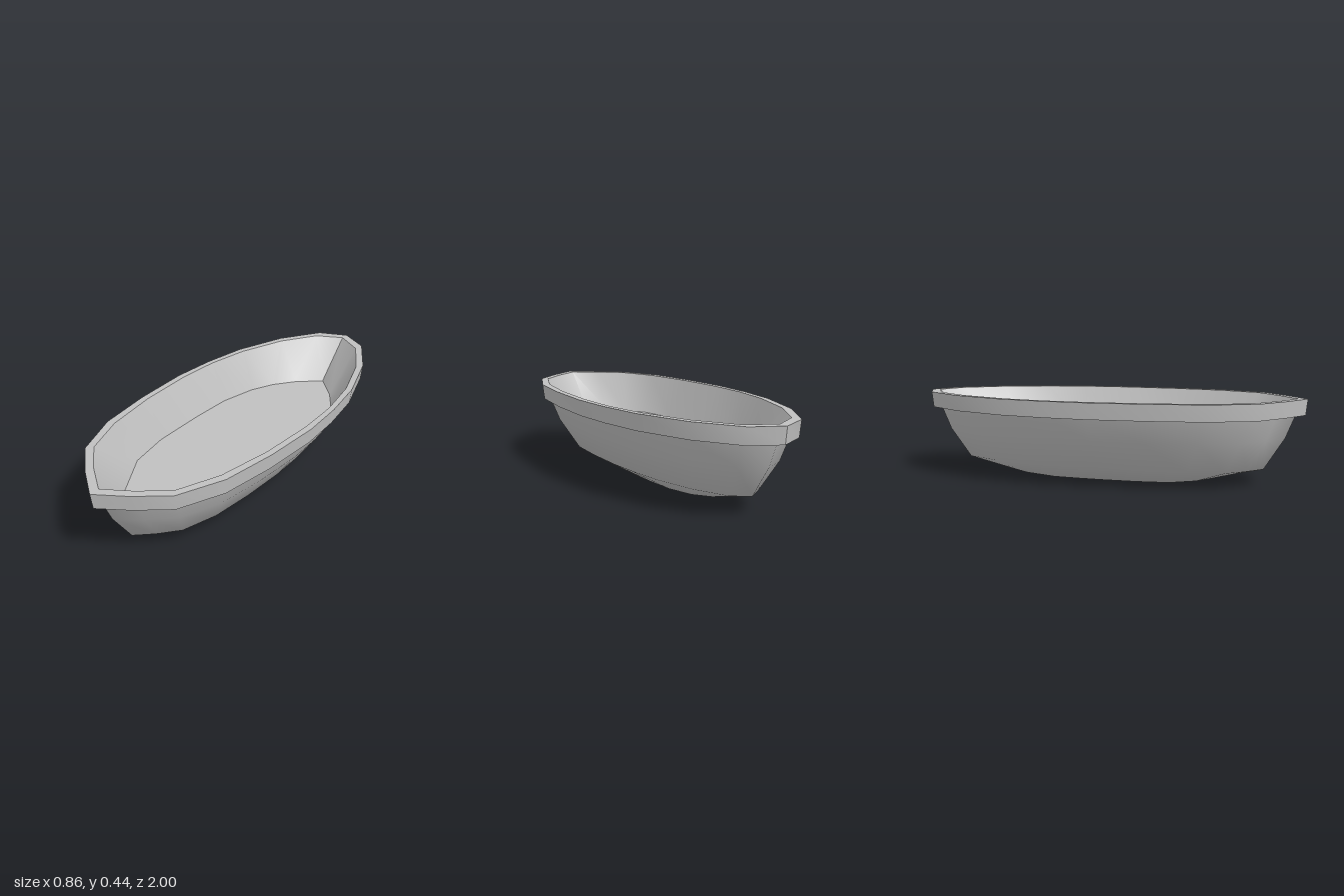
import * as THREE from 'three';
import { toCreasedNormals } from 'three/addons/utils/BufferGeometryUtils.js';

// Half outlines as [x, z], from back tip to front tip
const rimOuter = [[0, -1], [0.145, -0.93], [0.28, -0.72], [0.375, -0.45], [0.413, -0.22], [0.428, 0],
  [0.412, 0.29], [0.373, 0.56], [0.28, 0.78], [0.14, 0.9], [0, 0.995]];
const rimInner = [[0, -0.955], [0.135, -0.88], [0.255, -0.69], [0.345, -0.44], [0.385, -0.22], [0.395, 0],
  [0.38, 0.28], [0.335, 0.55], [0.255, 0.75], [0.13, 0.86], [0, 0.947]];
const floorEdge = [[0, -0.765], [0.12, -0.655], [0.2, -0.545], [0.257, -0.42], [0.3, -0.22], [0.305, 0],
  [0.297, 0.29], [0.255, 0.5], [0.185, 0.61], [0.115, 0.72], [0, 0.76]];

// Closed mirrored ring at height y (number or function of z), optionally scaled
function ring(half, y, sx = 1, sz = 1) {
  const right = half.map(([x, z]) => [x * sx, z * sz]);
  const left = right.slice(1, -1).reverse().map(([x, z]) => [-x, z]);
  return [...right, ...left].map(([x, z]) => [x, typeof y === 'function' ? y(z) : y, z]);
}

// Skin consecutive rings, leaving out collapsed triangles
function loft(rings) {
  const n = rings[0].length;
  const index = [];
  const same = (a, b) => rings.flat()[a].every((v, k) => Math.abs(v - rings.flat()[b][k]) < 1e-6);
  const tri = (a, b, c) => {
    if (!same(a, b) && !same(b, c) && !same(a, c)) index.push(a, b, c);
  };
  for (let r = 0; r < rings.length - 1; r++) {
    for (let i = 0; i < n; i++) {
      const j = (i + 1) % n;
      const a = r * n + i, b = r * n + j, c = a + n, d = b + n;
      tri(a, b, c);
      tri(b, d, c);
    }
  }
  const geometry = new THREE.BufferGeometry();
  geometry.setAttribute('position', new THREE.Float32BufferAttribute(rings.flat(2), 3));
  geometry.setIndex(index);
  geometry.computeVertexNormals();
  return geometry;
}

export function createModel() {
  const model = new THREE.Group();
  model.name = 'boat';
  const grey = new THREE.MeshStandardMaterial({ color: 0xc0c0c0 });
  grey.name = 'grey';

  const add = (name, geometry) => {
    const mesh = new THREE.Mesh(geometry, grey);
    mesh.name = name;
    model.add(mesh);
  };
  const crease = 0.75;
  const top = 0.435, rimBottom = 0.355, floorY = 0.225;

  // Flat inside floor
  add('floor', loft([ring(floorEdge, floorY, 0), ring(floorEdge, floorY)]));

  // Sloping inside wall, sharp at both tips
  add('innerWall', toCreasedNormals(loft([ring(floorEdge, floorY), ring(rimInner, top)]), crease));

  // Overhanging rim: top face, side face and underside
  add('rim', toCreasedNormals(loft([
    ring(rimInner, top),
    ring(rimOuter, top),
    ring(rimOuter, rimBottom, 0.98, 0.992),
    ring(rimOuter, rimBottom, 0.91, 0.945),
  ]), crease));

  // Rounded hull narrowing to a flat keel strip that rises towards the tips
  const chine = (z) => 0.088 - 0.012 * Math.max(0, z);
  const keel = (z) => 0.28 * Math.max(0, Math.abs(z) - 0.25) ** 2;
  add('hull', loft([
    ring(rimOuter, rimBottom, 0.91, 0.945),
    ring(rimOuter, 0.24, 0.805, 0.9),
    ring(rimOuter, chine, 0.565, 0.8),
    ring(rimOuter, keel, 0.22, 0.6),
    ring(rimOuter, keel, 0, 0.6),
  ]));

  return model;
}
